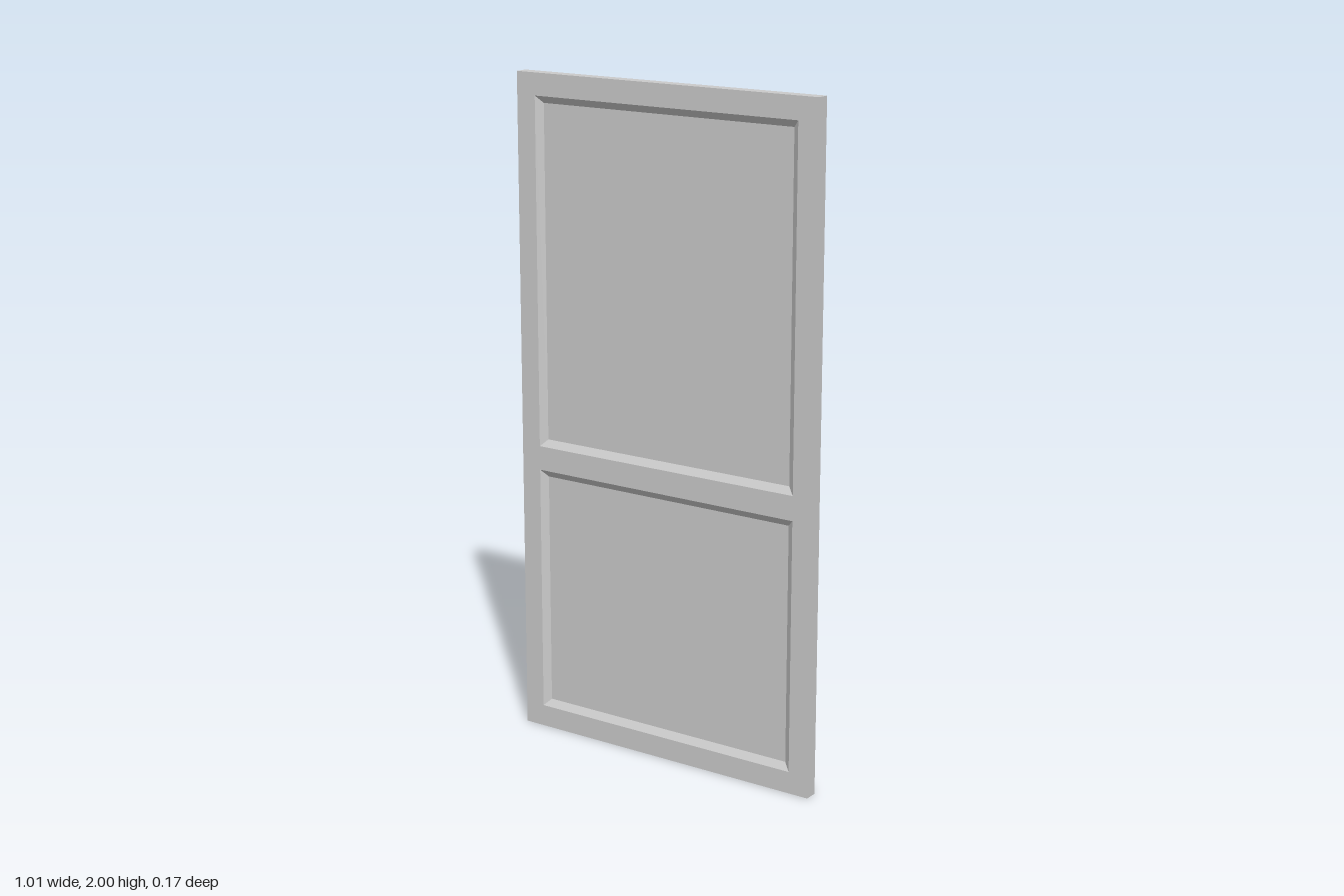
import * as THREE from 'three';

const W = 1.013, H = 2, T = 0.04;      // slab size
const BEVEL = 0.021, DEPTH = 0.015;    // sloped moulding around each panel
const OPEN_X = 0.443;                  // half width of the openings
const OPENINGS = [
  { name: 'upper', y0: 0.892, y1: 1.934 },
  { name: 'lower', y0: 0.066, y1: 0.819 },
];

const material = new THREE.MeshStandardMaterial({ color: 0xcccccc, flatShading: true });

function addMesh(parent, name, geometry) {
  const mesh = new THREE.Mesh(geometry, material);
  mesh.name = name;
  parent.add(mesh);
  return mesh;
}

// Counter-clockwise rectangle corners
const rect = (x, y0, y1) => [[-x, y0], [x, y0], [x, y1], [-x, y1]];
const toPoints = (corners) => corners.map(([x, y]) => new THREE.Vector2(x, y));

// Mitred sloping ring from an outer rectangle down to an inner one
function bevelRing(outer, inner, zOuter, zInner) {
  const pos = [];
  for (let i = 0; i < 4; i++) {
    const j = (i + 1) % 4;
    const a = [...outer[i], zOuter], b = [...outer[j], zOuter];
    const c = [...inner[j], zInner], d = [...inner[i], zInner];
    pos.push(...a, ...b, ...c, ...a, ...c, ...d);
  }
  const geometry = new THREE.BufferGeometry();
  geometry.setAttribute('position', new THREE.Float32BufferAttribute(pos, 3));
  geometry.computeVertexNormals();
  return geometry;
}

// One face of the door: frame, bevels and recessed panels
function createSide(name) {
  const side = new THREE.Group();
  side.name = name;
  const frame = new THREE.Shape(toPoints(rect(W / 2, 0, H)));
  for (const o of OPENINGS) {
    const outer = rect(OPEN_X, o.y0, o.y1);
    const inner = rect(OPEN_X - BEVEL, o.y0 + BEVEL, o.y1 - BEVEL);
    frame.holes.push(new THREE.Path(toPoints(outer)));
    addMesh(side, o.name + 'Bevel', bevelRing(outer, inner, T / 2, T / 2 - DEPTH));
    addMesh(side, o.name + 'Panel', new THREE.ShapeGeometry(new THREE.Shape(toPoints(inner))))
      .position.z = T / 2 - DEPTH;
  }
  addMesh(side, 'frameFace', new THREE.ShapeGeometry(frame)).position.z = T / 2;
  return side;
}

export function createModel() {
  const model = new THREE.Group();
  model.name = 'panelDoor';

  const front = createSide('frontSide');
  const back = createSide('backSide');
  back.rotation.y = Math.PI;
  model.add(front, back);

  // Narrow edges of the slab
  for (const s of [-1, 1]) {
    const upright = addMesh(model, s > 0 ? 'leftEdge' : 'rightEdge', new THREE.PlaneGeometry(T, H));
    upright.rotation.y = s * Math.PI / 2;
    upright.position.set(s * W / 2, H / 2, 0);
    const flat = addMesh(model, s > 0 ? 'topEdge' : 'bottomEdge', new THREE.PlaneGeometry(W, T));
    flat.rotation.x = -s * Math.PI / 2;
    flat.position.y = s > 0 ? H : 0;
  }

  // The door stands slightly turned
  model.rotation.y = THREE.MathUtils.degToRad(7.25);
  return model;
}
